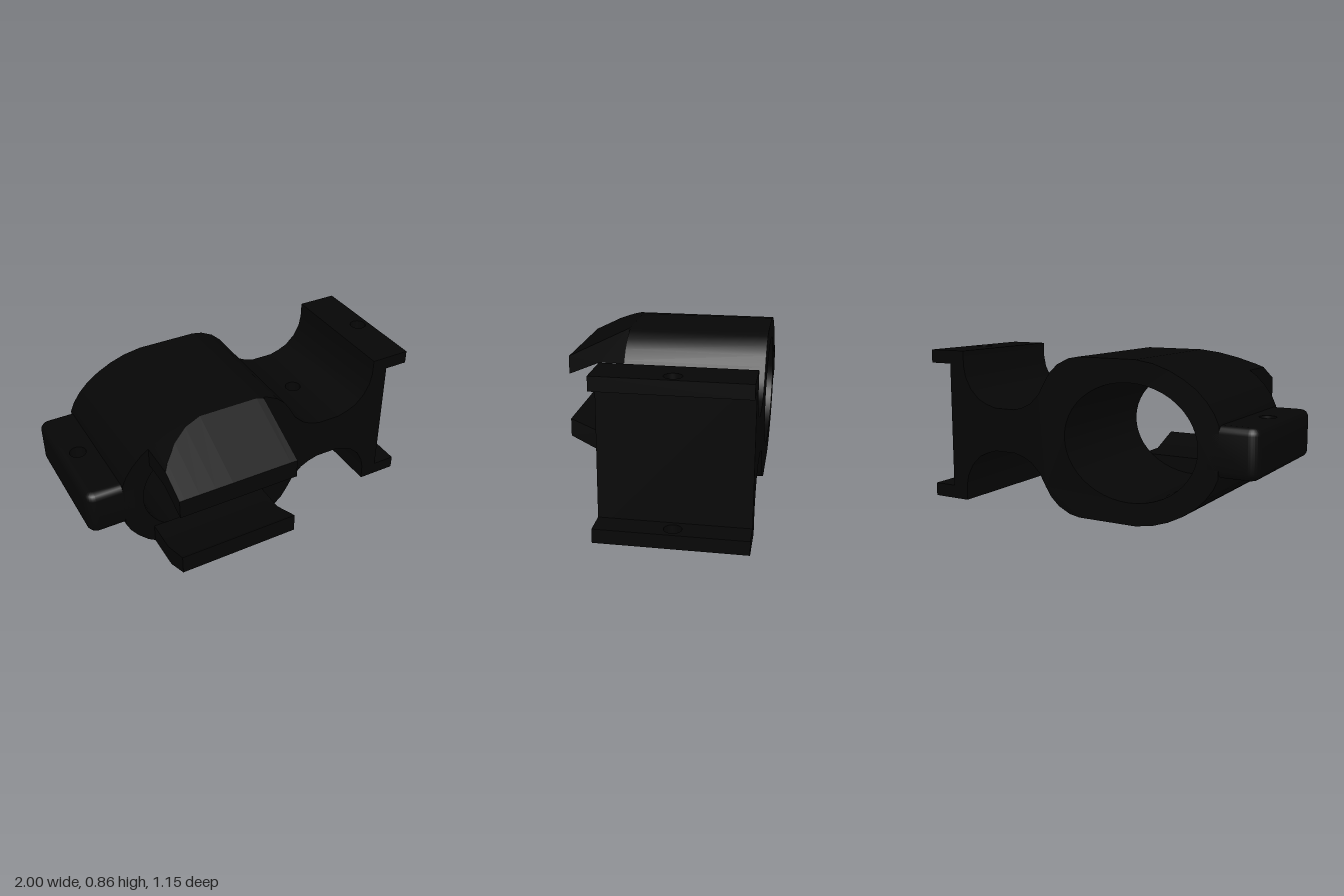
import * as THREE from 'three';
import { toCreasedNormals } from 'three/addons/utils/BufferGeometryUtils.js';

const H = 0.858, BACK = -0.573, FRONT = 0.206, DEPTH = FRONT - BACK;
const HOLE_Z = -0.187, HOLE_R = 0.046;

// upper outline of the ring body, from the tab to the neck
const RING_TOP = [
  [-0.8, 0.56], [-0.775, 0.615], [-0.735, 0.67], [-0.68, 0.725], [-0.61, 0.772], [-0.53, 0.812],
  [-0.44, 0.842], [-0.34, H], [0, H], [0.06, 0.847], [0.13, 0.813], [0.18, 0.768], [0.215, 0.715],
  [0.255, 0.645], [0.31, 0.592], [0.36, 0.567], [0.42, 0.55]];
// upper outline of the web, from the neck to the flanges
const WEB_TOP = [
  [0.55, 0.55], [0.61, 0.567], [0.665, 0.592], [0.72, 0.645], [0.755, 0.71], [0.768, 0.77],
  [0.77, H], [0.865, H]];

const shapeFrom = pts => new THREE.Shape(pts.map(p => new THREE.Vector2(...p)));
// closed anticlockwise outline, symmetric about mid height
const mirrored = top => shapeFrom([...top.map(([x, y]) => [x, H - y]), ...[...top].reverse()]);

function extrudeZ(shape) {
  const g = new THREE.ExtrudeGeometry(shape, { depth: DEPTH, bevelEnabled: false, curveSegments: 24 });
  return toCreasedNormals(g.translate(0, 0, BACK), 0.6);
}

// flat plate with a vertical screw hole; its shape lies in x and -z
function drilledPlate(shape, y0, y1, holeX, bevel = 0) {
  const hole = new THREE.Path();
  hole.absarc(holeX, -HOLE_Z, HOLE_R, 0, Math.PI * 2, true);
  shape.holes.push(hole);
  const g = new THREE.ExtrudeGeometry(shape, {
    depth: y1 - y0 - 2 * bevel, curveSegments: 12,
    bevelEnabled: bevel > 0, bevelSize: bevel, bevelThickness: bevel, bevelSegments: 4 });
  g.rotateX(-Math.PI / 2).translate(0, y0 + bevel, 0);
  // keep the bore straight where the rounded edge would narrow it
  const p = g.attributes.position;
  for (let i = 0; i < p.count; i++) {
    const dx = p.getX(i) - holeX, dz = p.getZ(i) - HOLE_Z, d = Math.hypot(dx, dz);
    if (d < HOLE_R + 0.001) {
      p.setX(i, holeX + dx / d * HOLE_R);
      p.setZ(i, HOLE_Z + dz / d * HOLE_R);
    }
  }
  return toCreasedNormals(g, 0.6);
}

const plateShape = (x0, x1) => shapeFrom([[x0, -FRONT], [x1, -FRONT], [x1, -BACK], [x0, -BACK]]);

// tab outline with rounded outer corners, inset by the bevel b
function tabShape(x0, x1, b, r) {
  const l = x0 + b, lo = b - FRONT, hi = -BACK - b;
  const s = new THREE.Shape();
  s.moveTo(x1, lo);
  s.lineTo(x1, hi);
  s.lineTo(l + r, hi);
  s.absarc(l + r, hi - r, r, Math.PI / 2, Math.PI, false);
  s.lineTo(l, lo + r);
  s.absarc(l + r, lo + r, r, Math.PI, Math.PI * 1.5, false);
  s.closePath();
  return s;
}

function ringHeight(x) {
  const i = RING_TOP.findIndex(p => p[0] >= x);
  const [a, b] = [RING_TOP[i - 1], RING_TOP[i]];
  return a[1] + (b[1] - a[1]) * (x - a[0]) / (b[0] - a[0]);
}

// tapering jaw: side sections lofted across x, trimmed by the ring outline
function jawGeometry() {
  const x0 = -0.64, x1 = 0.04;
  const xs = [x0, ...RING_TOP.map(p => p[0]).filter(x => x > x0 && x < x1), x1];
  const pos = [], idx = [], n = 6;
  for (const x of xs) {
    const top = ringHeight(x);
    const section = [[FRONT, 0.645], [0.39, 0.645], [0.573, 0.568], [0.573, 0.675],
      [FRONT + (H - top) * 2, top], [FRONT, top]];
    for (const [z, y] of section) pos.push(x, y, z);
  }
  for (let i = 0; i < xs.length - 1; i++) {
    for (let j = 0; j < n; j++) {
      const a = i * n + j, d = i * n + (j + 1) % n;
      idx.push(a, a + n, d + n, a, d + n, d);
    }
  }
  const e = (xs.length - 1) * n;
  for (const [j, k] of [[2, 3], [3, 4], [4, 5], [5, 0]]) {
    idx.push(1, j, k, e + 1, e + k, e + j);
  }
  const g = new THREE.BufferGeometry();
  g.setAttribute('position', new THREE.Float32BufferAttribute(pos, 3));
  g.setIndex(idx);
  return toCreasedNormals(g, 0.4);
}

export function createModel() {
  const group = new THREE.Group();
  const material = new THREE.MeshStandardMaterial({ color: 0x060606 });
  const add = (name, geometry) => {
    const m = new THREE.Mesh(geometry, material);
    m.name = name;
    group.add(m);
    return m;
  };

  // ring body with an oval bore
  const ring = mirrored(RING_TOP);
  const bore = new THREE.Path();
  bore.absellipse(-0.3, H / 2, 0.39, 0.31, 0, Math.PI * 2, true);
  ring.holes.push(bore);
  add('ringBody', extrudeZ(ring));

  // side tab, neck and web
  add('sideTab', drilledPlate(tabShape(-1, -0.78, 0.04, 0.015), 0.3, 0.56, -0.9, 0.04));
  add('neck', drilledPlate(plateShape(0.42, 0.55), H - 0.55, 0.55, 0.482));
  add('web', extrudeZ(mirrored(WEB_TOP)));

  // mounting flanges
  add('upperFlange', drilledPlate(plateShape(0.865, 1), 0.783, H, 0.932));
  add('lowerFlange', drilledPlate(plateShape(0.865, 1), 0, 0.075, 0.932));

  // front jaws
  const jaw = jawGeometry();
  add('upperJaw', jaw);
  const lower = add('lowerJaw', jaw);
  lower.scale.y = -1;
  lower.position.y = H;

  return group;
}
